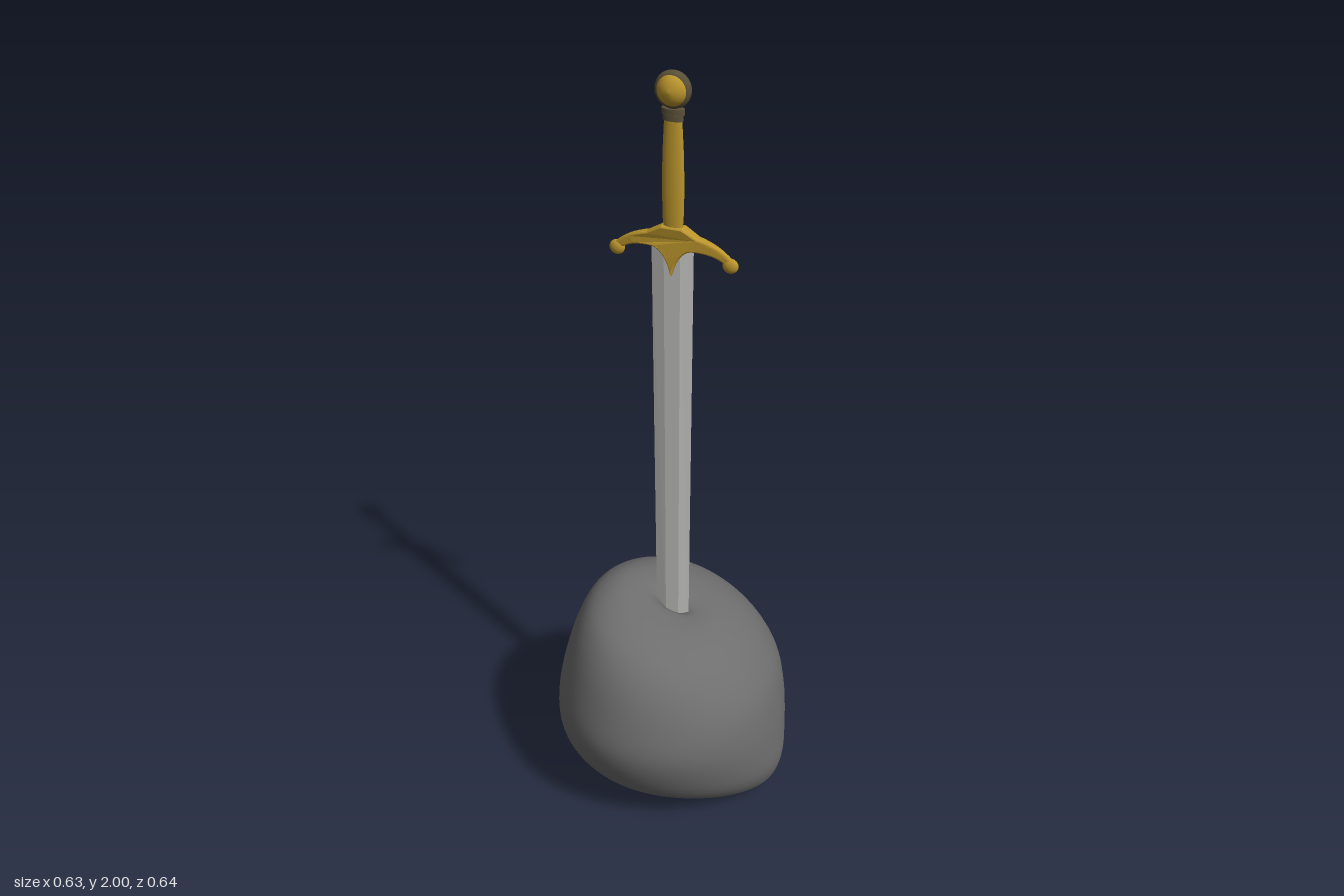
import * as THREE from 'three';

const mat = (name, color, side = THREE.FrontSide) => {
  const m = new THREE.MeshStandardMaterial({ color, side });
  m.name = name;
  return m;
};

function add(group, name, geometry, material, x = 0, y = 0, z = 0) {
  const mesh = new THREE.Mesh(geometry, material);
  mesh.name = name;
  mesh.position.set(x, y, z);
  group.add(mesh);
  return mesh;
}

// Boulder: tilted rings from a keel at the bottom to a hollow at the top.
function rockGeometry() {
  // left x, left y, right x, right y, half depth, end sharpness
  const rings = [
    [-0.16, 0.005, 0.19, 0.003, 0, 1.2],
    [-0.22, 0.02, 0.24, 0.018, 0.08, 1.2],
    [-0.265, 0.05, 0.285, 0.05, 0.17, 1.2],
    [-0.298, 0.11, 0.313, 0.12, 0.245, 1.15],
    [-0.315, 0.2, 0.311, 0.21, 0.297, 1.05],
    [-0.307, 0.3, 0.3, 0.3, 0.32, 1],
    [-0.287, 0.4, 0.277, 0.39, 0.302, 0.95],
    [-0.255, 0.51, 0.23, 0.465, 0.265, 0.95],
    [-0.225, 0.575, 0.17, 0.52, 0.215, 1],
    [-0.185, 0.61, 0.115, 0.55, 0.15, 1],
    [-0.135, 0.622, 0.075, 0.56, 0.09, 1],
    [-0.065, 0.602, 0.05, 0.56, 0.035, 1],
    [0, 0.54, 0.001, 0.54, 0.001, 1],
  ];
  const left = new THREE.CatmullRomCurve3(rings.map(r => new THREE.Vector3(r[0], r[1], r[4])));
  const right = new THREE.CatmullRomCurve3(rings.map(r => new THREE.Vector3(r[2], r[3], r[5])));
  const rows = 48, cols = 64, pos = [], index = [];
  for (let j = 0; j <= rows; j++) {
    const l = left.getPoint(j / rows), r = right.getPoint(j / rows);
    for (let i = 0; i < cols; i++) {
      const a = i / cols * Math.PI * 2, s = Math.sin(a), k = (Math.cos(a) + 1) / 2;
      const skew = 1 - 0.04 * Math.cos(a) * s * s;
      pos.push(l.x + (r.x - l.x) * k, l.y + (r.y - l.y) * k,
        Math.sign(s) * Math.pow(Math.abs(s), r.z) * Math.max(l.z, 0) * skew);
      if (j < rows) {
        const p = j * cols + i, q = j * cols + (i + 1) % cols;
        index.push(p, p + cols, q, q, p + cols, q + cols);
      }
    }
  }
  const g = new THREE.BufferGeometry();
  g.setAttribute('position', new THREE.Float32BufferAttribute(pos, 3));
  g.setIndex(index);
  g.computeVertexNormals();
  return g;
}

// Six-sided blade with a flat central band and thin edges.
function bladeGeometry() {
  const s = new THREE.Shape([[-0.053, 0], [-0.02, -0.008], [0.02, -0.008],
    [0.05, 0], [0.02, 0.008], [-0.02, 0.008]].map(p => new THREE.Vector2(...p)));
  const g = new THREE.ExtrudeGeometry(s, { depth: 1.14, bevelEnabled: false });
  g.rotateX(-Math.PI / 2);
  const p = g.attributes.position;
  for (let i = 0; i < p.count; i++) p.setX(i, p.getX(i) * (0.86 + 0.14 * p.getY(i) / 1.14));
  g.computeVertexNormals();
  return g;
}

// Crossguard: drooping arms and a pointed tongue, thinning outwards.
function guardGeometry() {
  const s = new THREE.Shape();
  s.moveTo(0, 1.53);
  s.quadraticCurveTo(0.012, 1.585, 0.045, 1.595);
  s.quadraticCurveTo(0.1, 1.598, 0.128, 1.575);
  s.lineTo(0.14, 1.585);
  s.quadraticCurveTo(0.11, 1.614, 0.06, 1.625);
  s.lineTo(0.025, 1.645);
  s.lineTo(-0.025, 1.645);
  s.lineTo(-0.06, 1.625);
  s.quadraticCurveTo(-0.11, 1.614, -0.14, 1.585);
  s.lineTo(-0.128, 1.575);
  s.quadraticCurveTo(-0.1, 1.598, -0.045, 1.595);
  s.quadraticCurveTo(-0.012, 1.585, 0, 1.53);
  const g = new THREE.ExtrudeGeometry(s, {
    depth: 0.02, bevelThickness: 0.008, bevelSize: 0.004, bevelOffset: -0.002, bevelSegments: 2, curveSegments: 8,
  });
  g.translate(0, 0, -0.01);
  const p = g.attributes.position;
  for (let i = 0; i < p.count; i++) {
    p.setZ(i, p.getZ(i) * (1 - 0.65 * Math.min(1, Math.abs(p.getX(i)) / 0.13)));
  }
  g.computeVertexNormals();
  return g;
}

export function createModel() {
  const stone = mat('stone grey', 0x6e6e6e, THREE.DoubleSide);
  const steel = mat('steel', 0xc2c2c0);
  const gold = mat('gold', 0xbb952c);
  const dark = mat('dark bronze', 0x5a5138);

  const model = new THREE.Group();
  model.name = 'swordInStone';
  add(model, 'rock', rockGeometry(), stone);

  const sword = new THREE.Group();
  sword.name = 'sword';
  model.add(sword);
  add(sword, 'blade', bladeGeometry(), steel, 0, 0.46, 0);
  add(sword, 'crossguard', guardGeometry(), gold);

  // Rounded guard tips
  for (const side of [-1, 1]) {
    const tip = add(sword, side > 0 ? 'leftGuardTip' : 'rightGuardTip',
      new THREE.SphereGeometry(1, 16, 12), gold, side * 0.138, 1.572, 0);
    tip.scale.set(0.019, 0.018, 0.011);
  }

  // Flattened grip, swelling slightly in the middle
  const profile = [[0.021, 1.63], [0.025, 1.66], [0.027, 1.74], [0.025, 1.82], [0.021, 1.895]];
  const grip = add(sword, 'grip',
    new THREE.LatheGeometry(profile.map(p => new THREE.Vector2(...p)), 16), gold);
  grip.scale.z = 0.48;

  // Collar rings under the pommel
  for (const [r, y] of [[0.024, 1.897], [0.027, 1.911]]) {
    const ring = add(sword, 'collar', new THREE.CylinderGeometry(r, r, 0.013, 20), dark, 0, y, 0);
    ring.scale.z = 0.5;
  }

  // Lens-shaped pommel with a dark rim
  const lens = [[0, -0.028], [0.014, -0.026], [0.026, -0.019], [0.035, -0.01],
    [0.035, 0.01], [0.026, 0.019], [0.014, 0.026], [0, 0.028]];
  const pommel = add(sword, 'pommel',
    new THREE.LatheGeometry(lens.map(p => new THREE.Vector2(...p)), 28), gold, 0, 1.958, 0);
  pommel.rotation.x = Math.PI / 2;
  const rim = add(sword, 'pommelRim', new THREE.LatheGeometry(
    [[0.034, -0.011], [0.04, -0.008], [0.042, 0], [0.04, 0.008], [0.034, 0.011]]
      .map(p => new THREE.Vector2(...p)), 28), dark, 0, 1.958, 0);
  rim.rotation.x = Math.PI / 2;
  return model;
}
